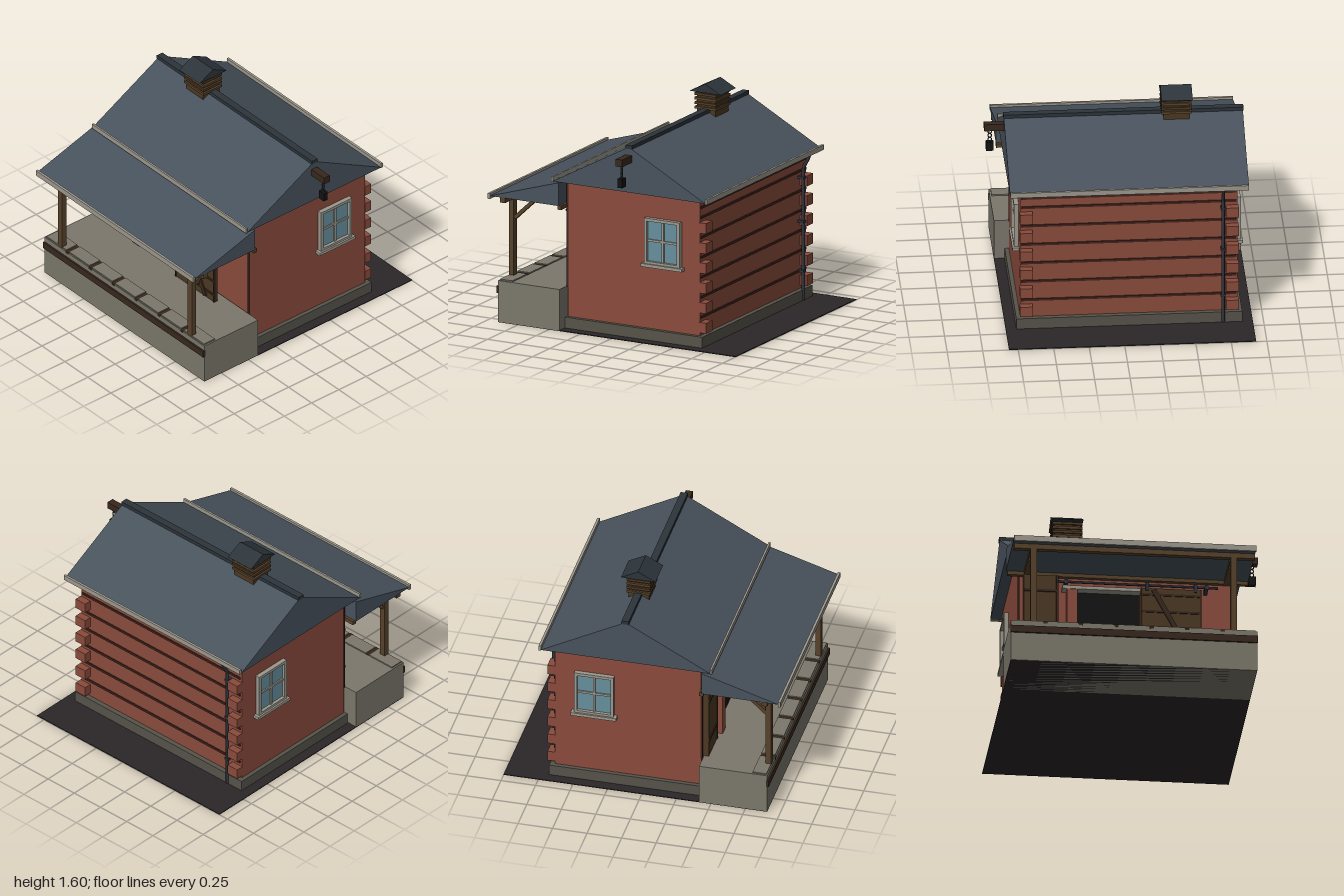
import * as THREE from 'three';

const CX = -0.055; // middle of the house across x
const RIDGE_Z = -0.125;

const COLORS = {
  brick: 0x8a4b3c, darkBrick: 0x42241d, roof: 0x48525c, ridge: 0x2c343a, stone: 0x7b776b,
  footing: 0x56534a, trim: 0x9c988d, wood: 0x57422b, plank: 0x4b3822, darkWood: 0x38281d,
  ground: 0x2b2628, black: 0x131314, iron: 0x30353c, glass: 0x668f9d,
};
const mats = {};
const mat = (c) => (mats[c] ??= new THREE.MeshStandardMaterial({ color: COLORS[c] }));

export function createModel() {
  const model = new THREE.Group();

  const add = (name, geo, color, parent = model) => {
    const mesh = new THREE.Mesh(geo, mat(color));
    mesh.name = name;
    parent.add(mesh);
    return mesh;
  };
  // Box given by its limits on each axis
  const box = (name, color, x0, x1, y0, y1, z0, z1, parent) => {
    const m = add(name, new THREE.BoxGeometry(x1 - x0, y1 - y0, z1 - z0), color, parent);
    m.position.set((x0 + x1) / 2, (y0 + y1) / 2, (z0 + z1) / 2);
    return m;
  };
  // Solid with a (z, y) outline, drawn out along x
  const prism = (name, color, points, x0, x1) => {
    const shape = new THREE.Shape(points.map(([z, y]) => new THREE.Vector2(-z, y)));
    const geo = new THREE.ExtrudeGeometry(shape, { depth: x1 - x0, bevelEnabled: false });
    geo.rotateY(Math.PI / 2);
    geo.translate(x0, 0, 0);
    return add(name, geo, color);
  };
  // Square bar between two points
  const bar = (name, color, a, b, w, d) => {
    const p = new THREE.Vector3(...a), q = new THREE.Vector3(...b);
    const m = add(name, new THREE.BoxGeometry(w, d, p.distanceTo(q)), color);
    m.position.copy(p).add(q).multiplyScalar(0.5);
    m.lookAt(q);
    return m;
  };

  // Ground, footing and brick walls
  box('ground', 'ground', -0.925, 0.815, 0, 0.006, -1, 0.9);
  box('footing', 'footing', -0.85, 0.74, 0.001, 0.085, -0.69, 0.41);
  box('walls', 'brick', -0.82, 0.71, 0.08, 1.08, -0.655, 0.405);
  for (const x of [-0.815, 0.705])
    box('frontCornerTrim', 'darkBrick', x - 0.008, x + 0.008, 0.3, 1.07, 0.4, 0.413);

  // Back wall: dark courses and corner blocks
  for (let i = 0; i < 7; i++) {
    const y = 0.145 + i * 0.145;
    if (i < 6) {
      box('backCourse', 'darkBrick', -0.81, 0.70, y + 0.064, y + 0.08, -0.664, -0.65);
      for (const x of [-0.78, 0.67])
        box('cornerBlock', 'brick', x - 0.045, x + 0.045, y - 0.038, y + 0.038, -0.708, -0.65);
    } else {
      box('backCourse', 'darkBrick', -0.81, 0.70, y - 0.008, y + 0.008, -0.664, -0.65);
    }
  }

  // Main roof with ridge cap and gutters
  prism('mainRoof', 'roof', [[0.487, 1.075], [-0.74, 1.075], [RIDGE_Z, 1.405]], -0.895, 0.787);
  box('ridgeCap', 'ridge', -0.9, 0.79, 1.392, 1.418, RIDGE_Z - 0.028, RIDGE_Z + 0.024);
  box('frontGutter', 'trim', -0.893, 0.785, 1.068, 1.105, 0.485, 0.499);
  box('backGutter', 'trim', -0.893, 0.785, 1.068, 1.105, -0.756, -0.738);

  // Downpipe on the back wall
  const pipePath = new THREE.CurvePath();
  const pipePoints = [[1.07, -0.74], [1.05, -0.735], [0.97, -0.69], [0.01, -0.69]]
    .map(([y, z]) => new THREE.Vector3(-0.715, y, z));
  for (let i = 0; i < 3; i++) pipePath.add(new THREE.LineCurve3(pipePoints[i], pipePoints[i + 1]));
  add('downpipe', new THREE.TubeGeometry(pipePath, 40, 0.012, 10), 'iron');
  for (const y of [0.22, 0.58, 0.9])
    box('pipeClip', 'iron', -0.732, -0.698, y - 0.008, y + 0.008, -0.703, -0.65);

  // Porch roof and timber frame
  prism('porchRoof', 'roof', [[0.985, 0.905], [0.43, 0.905], [0.43, 1.075]], -0.91, 0.8);
  box('porchGutter', 'trim', -0.91, 0.8, 0.882, 0.923, 0.982, 1.0);
  box('porchBeam', 'wood', -0.9, 0.8, 0.868, 0.908, 0.862, 0.902);
  box('wallBeam', 'wood', -0.9, 0.8, 0.878, 0.908, 0.41, 0.44);
  for (const x of [-0.763, 0.65]) {
    box('porchPost', 'wood', x - 0.022, x + 0.022, 0.3, 0.88, 0.862, 0.902);
    box('sideBeam', 'wood', x - 0.02, x + 0.02, 0.88, 0.908, 0.42, 0.87);
    bar('postBrace', 'wood', [x, 0.73, 0.86], [x, 0.89, 0.69], 0.03, 0.026);
  }

  // Loading dock with timber bumper and edge slabs
  box('dock', 'stone', -0.925, 0.815, 0, 0.303, 0.415, 0.908);
  box('bumper', 'darkWood', -0.927, 0.817, 0.212, 0.264, 0.9, 0.92);
  for (let i = 0; i < 7; i++) {
    const x = -0.805 + i * 0.25;
    box('edgeSlab', 'stone', x - 0.108, x + 0.108, 0.29, 0.312, 0.8, 0.9);
    if (i < 6) box('slabJoint', 'darkWood', x + 0.11, x + 0.14, 0.29, 0.306, 0.8, 0.909);
  }

  // Doorway with brick jambs and lintel
  box('doorway', 'black', -0.42, 0.05, 0.3, 0.79, 0.395, 0.412);
  for (const x of [-0.445, 0.075])
    box('doorJamb', 'brick', x - 0.038, x + 0.038, 0.3, 0.775, 0.4, 0.474);
  box('lintel', 'trim', -0.515, 0.145, 0.772, 0.797, 0.4, 0.478);

  // Plank panel: boards, raised rails and an end stile
  box('fixedPanel', 'plank', -0.785, -0.548, 0.3, 0.88, 0.405, 0.45);
  for (const y of [0.44, 0.76]) box('panelRail', 'darkWood', -0.785, -0.548, y - 0.009, y + 0.009, 0.44, 0.458);
  box('panelStile', 'darkWood', -0.556, -0.542, 0.3, 0.88, 0.405, 0.456);

  // Sliding door hung from an iron track
  box('slidingDoor', 'plank', 0.035, 0.46, 0.31, 0.785, 0.49, 0.515);
  for (const y of [0.37, 0.485, 0.605, 0.735])
    box('doorRail', 'darkWood', 0.035, 0.46, y - 0.008, y + 0.008, 0.5, 0.521);
  for (const x of [0.04, 0.455]) box('doorEdge', 'darkWood', x - 0.005, x + 0.005, 0.31, 0.785, 0.488, 0.521);
  bar('doorBrace', 'darkWood', [0.125, 0.77, 0.517], [0.365, 0.32, 0.517], 0.016, 0.034);
  const track = add('track', new THREE.CylinderGeometry(0.009, 0.009, 1.13, 10), 'iron');
  track.rotation.z = Math.PI / 2;
  track.position.set(0.015, 0.817, 0.49);
  for (const x of [-0.49, 0.5]) box('trackBracket', 'iron', x - 0.012, x + 0.012, 0.8, 0.834, 0.4, 0.5);
  for (const x of [0.08, 0.42]) box('doorHanger', 'iron', x - 0.012, x + 0.012, 0.765, 0.827, 0.482, 0.524);

  // Matching window on each side wall
  for (const s of [-1, 1]) {
    const win = new THREE.Group();
    win.name = 'sideWindow';
    win.position.set(CX + s * 0.765, 0, 0);
    win.rotation.y = s < 0 ? Math.PI : 0;
    const zc = -0.367 * s; // keeps both windows at the same depth
    const part = (name, color, depth, y0, y1, z0, z1) =>
      box(name, color, -0.01, depth, y0, y1, zc + z0, zc + z1, win);
    part('glass', 'glass', 0.01, 0.57, 0.88, -0.135, 0.135);
    for (const e of [-0.132, 0.132]) part('frameSide', 'trim', 0.033, 0.56, 0.893, e - 0.011, e + 0.011);
    part('frameTop', 'trim', 0.033, 0.872, 0.893, -0.143, 0.143);
    part('frameBottom', 'trim', 0.033, 0.56, 0.58, -0.143, 0.143);
    part('uprightBar', 'trim', 0.02, 0.56, 0.89, -0.008, 0.008);
    part('crossBar', 'trim', 0.02, 0.722, 0.738, -0.14, 0.14);
    part('sill', 'trim', 0.046, 0.54, 0.563, -0.165, 0.165);
    model.add(win);
  }

  // Roof vent with slatted sides
  box('ventBase', 'plank', -0.515, -0.333, 1.33, 1.54, RIDGE_Z - 0.075, RIDGE_Z + 0.075);
  for (let i = 0; i < 4; i++) {
    const y = 1.42 + i * 0.033;
    box('ventSlat', i % 2 ? 'plank' : 'wood', -0.53, -0.318, y - 0.009, y + 0.009, RIDGE_Z - 0.086, RIDGE_Z + 0.086);
  }
  prism('ventRoof', 'ridge', [[0, 1.535], [-0.25, 1.535], [RIDGE_Z, 1.6]], -0.535, -0.315);

  // Hoist beam, chain and weight
  box('hoistBeam', 'darkWood', 0.7, 0.925, 1.295, 1.347, RIDGE_Z - 0.026, RIDGE_Z + 0.026);
  for (let i = 0; i < 3; i++) {
    const link = add('chainLink', new THREE.TorusGeometry(0.012, 0.004, 6, 14), 'iron');
    link.position.set(0.885, 1.28 - i * 0.03, RIDGE_Z);
    link.scale.y = 1.25;
  }
  box('hoistWeight', 'black', 0.859, 0.912, 1.137, 1.203, RIDGE_Z - 0.018, RIDGE_Z + 0.018);

  return model;
}
